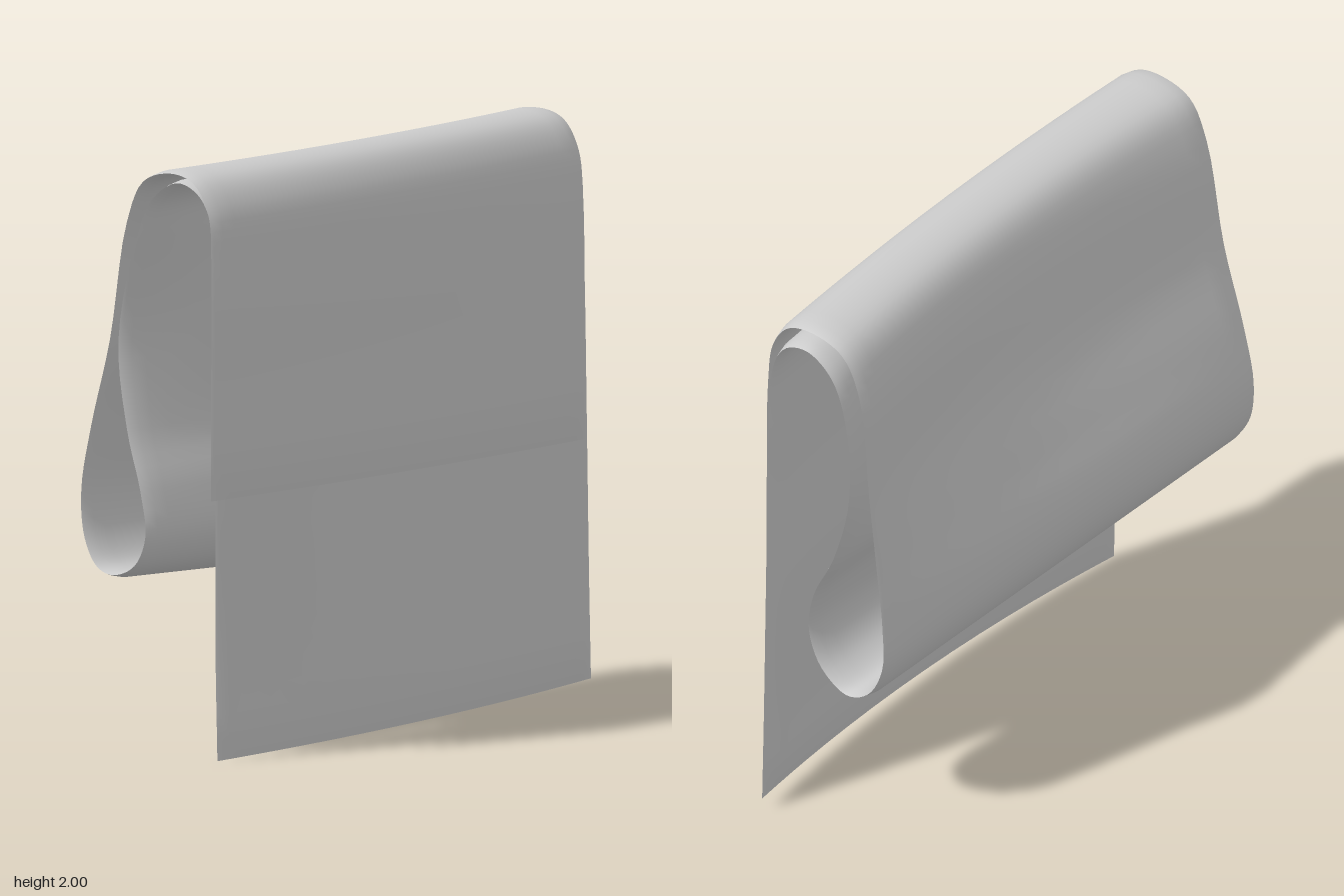
import * as THREE from 'three';
import { ParametricGeometry } from 'three/addons/geometries/ParametricGeometry.js';
import { toCreasedNormals } from 'three/addons/utils/BufferGeometryUtils.js';

// One strip of cloth followed from the short front flap, over the top, round
// the hanging loop at the back, over the top again and down the long front panel.
// Each row: [z, y] at the border on -x, [z, y] at the border on +x,
// forward bulge in the middle.
const stations = [
  // short front flap
  [[0.265, 0.90], [0.275, 0.88], 0.03],
  [[0.265, 1.30], [0.275, 1.30], 0.03],
  [[0.265, 1.70], [0.270, 1.70], 0.03],
  // outer fold
  [[0.25, 1.87], [0.25, 1.86], 0.03],
  [[0.185, 1.965], [0.185, 1.955], 0.035],
  [[0.08, 1.99], [0.08, 1.98], 0.045],
  [[-0.04, 1.95], [-0.04, 1.94], 0.055],
  // back layer
  [[-0.11, 1.80], [-0.11, 1.80], 0.06],
  [[-0.18, 1.40], [-0.15, 1.40], 0.06],
  [[-0.26, 1.10], [-0.18, 1.10], 0.03],
  [[-0.30, 0.88], [-0.20, 0.88], 0],
  // hanging loop
  [[-0.28, 0.72], [-0.20, 0.70], 0],
  [[-0.22, 0.63], [-0.14, 0.575], 0],
  [[-0.14, 0.61], [-0.05, 0.532], 0],
  [[-0.05, 0.65], [0.05, 0.60], 0],
  [[-0.005, 0.75], [0.10, 0.74], 0],
  [[-0.03, 0.90], [0.075, 0.90], 0],
  // inner layer going back up
  [[-0.10, 1.10], [-0.02, 1.10], 0.03],
  [[-0.15, 1.40], [-0.098, 1.40], 0.125],
  [[-0.08, 1.75], [-0.08, 1.75], 0.1],
  [[-0.025, 1.89], [-0.025, 1.88], 0.06],
  // inner fold
  [[0.065, 1.95], [0.065, 1.94], 0.04],
  [[0.15, 1.92], [0.15, 1.92], 0.035],
  [[0.20, 1.83], [0.20, 1.83], 0.04],
  // long front panel
  [[0.21, 1.50], [0.215, 1.50], 0.05],
  [[0.21, 0.90], [0.215, 0.90], 0.05],
  [[0.20, 0.40], [0.215, 0.42], 0.06],
  [[0.20, 0], [0.215, 0.05], 0.06],
];

// Side borders in x, as [station, x of the -x border, x of the +x border]
const borders = [
  [0, -0.962, 0.902], [5, -0.957, 0.896], [10, -0.98, 0.875], [13, -0.998, 0.88],
  [16, -0.985, 0.90], [19, -0.95, 0.935], [21, -0.91, 0.945], [24, -0.885, 0.965],
  [25, -0.877, 0.98], [27, -0.857, 1],
];

const LAST = stations.length - 1;
const THICKNESS = 0.02;

function borderX(station, column) {
  let i = 0;
  while (i < borders.length - 2 && borders[i + 1][0] < station) i++;
  const a = borders[i], b = borders[i + 1];
  return THREE.MathUtils.mapLinear(station, a[0], b[0], a[column], b[column]);
}

function borderCurve(side) {
  return new THREE.CatmullRomCurve3(stations.map((s, i) =>
    new THREE.Vector3(borderX(i, side + 1), s[side][1], s[side][0])), false, 'centripetal');
}

const startCurve = borderCurve(0);
const endCurve = borderCurve(1);
const bulgeCurve = new THREE.SplineCurve(stations.map((s, i) => new THREE.Vector2(i, s[2])));

// Point on the middle surface; s runs across the cloth, t along it
function clothPoint(s, t, target = new THREE.Vector3()) {
  target.lerpVectors(startCurve.getPoint(t), endCurve.getPoint(t), s);
  target.z += bulgeCurve.getPoint(t).y * 4 * s * (1 - s);
  return target;
}

function clothNormal(s, t) {
  const e = 0.001;
  const across = clothPoint(Math.min(s + e, 1), t).sub(clothPoint(Math.max(s - e, 0), t));
  const along = clothPoint(s, Math.min(t + e, 1)).sub(clothPoint(s, Math.max(t - e, 0)));
  return across.cross(along).normalize();
}

// Rounds the cloth off towards a border: 0 on the border, 1 beyond the given width
function roundOff(a, width) {
  return Math.sin(Math.min(1, Math.min(a, 1 - a) / width) * Math.PI / 2);
}

export function createModel() {
  const group = new THREE.Group();
  group.name = 'foldedCloth';

  const ACROSS = 20;
  const RING = 2 * ACROSS;

  // u walks across the outer face and back over the inner one,
  // with columns closer together towards the borders
  const geometry = new ParametricGeometry((u, t, target) => {
    const k = Math.round(u * RING);
    const s = (1 - Math.cos(k / ACROSS * Math.PI)) / 2;
    const side = k <= ACROSS ? 0.5 : -0.5;
    const offset = side * THICKNESS * roundOff(s, 0.025) * roundOff(t, 0.008);
    clothPoint(s, t, target).addScaledVector(clothNormal(s, t), offset);
  }, RING, LAST * 5);

  const cloth = new THREE.Mesh(
    toCreasedNormals(geometry, Math.PI / 4),
    new THREE.MeshStandardMaterial({ color: 0xcccccc, side: THREE.DoubleSide }));
  cloth.name = 'cloth';
  group.add(cloth);
  return group;
}
